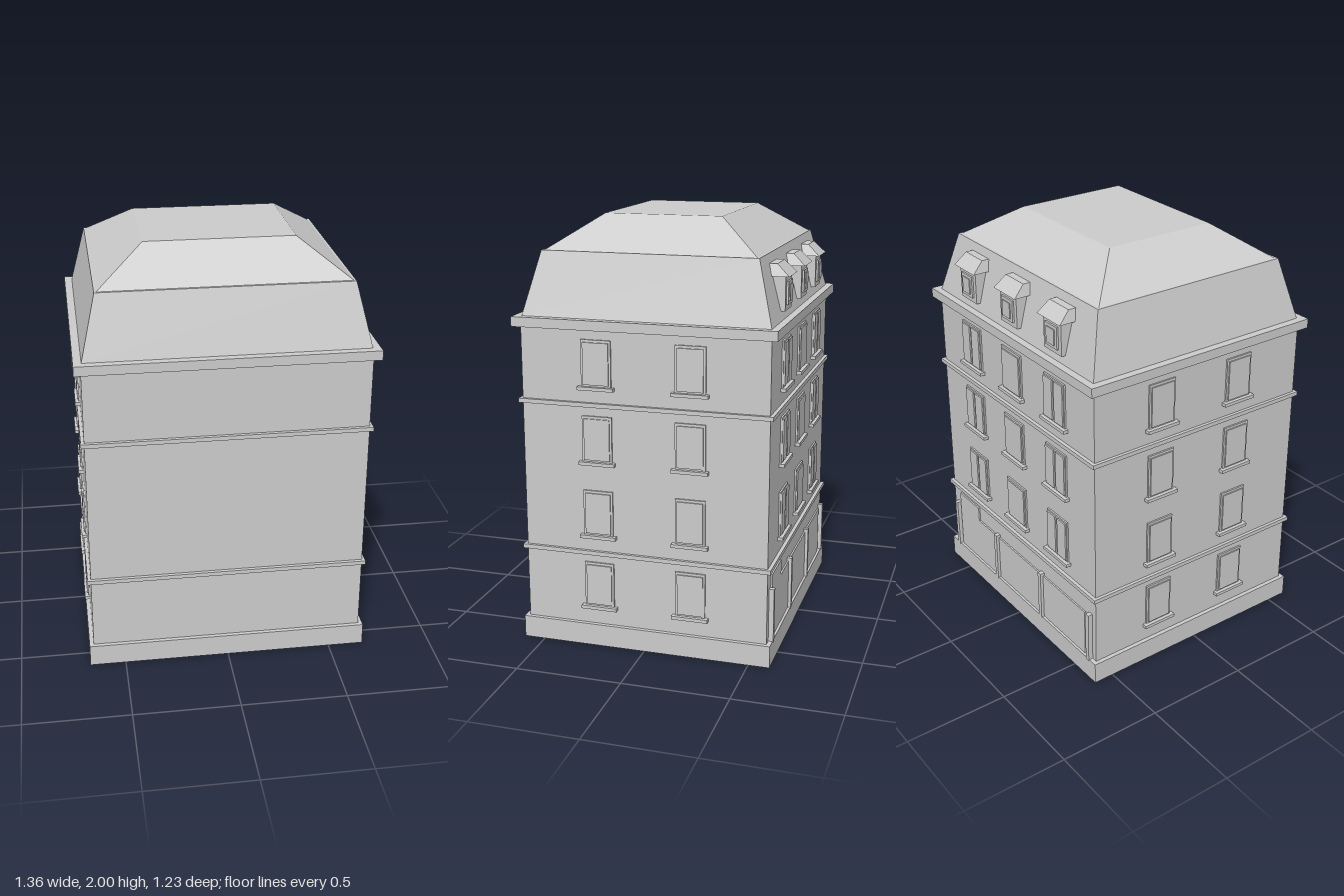
import * as THREE from 'three';

const stone = new THREE.MeshStandardMaterial({ color: 0xcccccc });
stone.name = 'pale grey stone';

const HX = 0.65, HZ = 0.58; // half width and half depth of the walls

function add(parent, name, geometry) {
  const mesh = new THREE.Mesh(geometry, stone);
  mesh.name = name;
  parent.add(mesh);
  return mesh;
}

// Box given by its extents on each axis
function block(parent, name, x0, x1, y0, y1, z0, z1) {
  const mesh = add(parent, name, new THREE.BoxGeometry(x1 - x0, y1 - y0, z1 - z0));
  mesh.position.set((x0 + x1) / 2, (y0 + y1) / 2, (z0 + z1) / 2);
  return mesh;
}

// Box whose top rectangle differs from its bottom one: [halfX, zBack, zFront]
function taper(parent, name, y0, y1, bottom, top) {
  const g = new THREE.BoxGeometry(2, 2, 2);
  const p = g.attributes.position;
  for (let i = 0; i < p.count; i++) {
    const up = p.getY(i) > 0;
    const [hx, zb, zf] = up ? top : bottom;
    p.setXYZ(i, p.getX(i) * hx, up ? y1 : y0, p.getZ(i) > 0 ? zf : zb);
  }
  g.computeVertexNormals();
  return add(parent, name, g);
}

// Window on a wall facing local +z, with its sill centred on the origin
function makeWindow(halfSill, doubleLeaf) {
  const w = new THREE.Group();
  w.name = 'window';
  const h = halfSill - 0.015;
  block(w, 'sill', -halfSill, halfSill, -0.008, 0.008, -0.01, 0.025);
  block(w, 'windowFrame', -h, h, 0.008, 0.222, -0.01, 0.008);
  if (doubleLeaf) {
    for (const s of [-1, 1]) {
      const a = s * 0.008, b = s * (h - 0.006);
      block(w, 'windowLeaf', Math.min(a, b), Math.max(a, b), 0.016, 0.214, 0, 0.015);
    }
  } else {
    block(w, 'windowPane', -h + 0.01, h - 0.01, 0.016, 0.21, 0, 0.014);
  }
  return w;
}

function makeDormer() {
  const d = new THREE.Group();
  d.name = 'dormer';
  block(d, 'dormerBody', -0.068, 0.068, 1.6, 1.765, -0.587, -0.505);
  block(d, 'dormerFrame', -0.046, 0.046, 1.625, 1.73, -0.596, -0.58);
  block(d, 'dormerPane', -0.03, 0.03, 1.64, 1.715, -0.601, -0.59);
  taper(d, 'dormerRoof', 1.755, 1.81, [0.088, -0.607, -0.49], [0.073, -0.55, -0.49]);
  return d;
}

export function createModel() {
  const model = new THREE.Group();
  model.name = 'townhouse';

  // Walls, plinth, string courses and cornice
  block(model, 'walls', -HX, HX, 0.05, 1.53, -HZ, HZ);
  block(model, 'plinth', -0.67, 0.67, 0, 0.105, -0.6, 0.6);
  for (const y of [0.46, 1.17]) {
    block(model, 'stringCourse', -0.665, 0.665, y - 0.01, y + 0.01, -0.597, 0.597);
  }
  block(model, 'cornice', -0.682, 0.682, 1.515, 1.56, -0.613, 0.613);

  // Mansard with a shallower hipped cap
  taper(model, 'mansard', 1.56, 1.85, [0.645, -0.578, 0.575], [0.575, -0.503, 0.5]);
  taper(model, 'roofCap', 1.85, 2, [0.565, -0.492, 0.488], [0.345, -0.277, 0.275]);

  // Windows on the sides and on the upper floors of the street face
  const columns = [-0.355, 0, 0.355];
  [0.19, 0.542, 0.896, 1.248].forEach((y, floor) => {
    for (const side of [-1, 1]) {
      for (const z of [-0.22, 0.22]) {
        const w = makeWindow(0.086, false);
        w.position.set(side * HX, y, z);
        w.rotation.y = side * Math.PI / 2;
        model.add(w);
      }
    }
    if (floor === 0) return;
    for (const x of columns) {
      const w = makeWindow(0.096, x !== 0);
      w.position.set(x, y, -HZ);
      w.rotation.y = Math.PI;
      model.add(w);
    }
  });

  // Dormers above the street face
  for (const x of columns) {
    const d = makeDormer();
    d.position.x = x;
    model.add(d);
  }

  // Shop front: tall entrance, display windows and slim pilasters
  const shop = new THREE.Group();
  shop.name = 'shopFront';
  block(shop, 'entrance', 0.39, 0.58, 0.1, 0.42, -0.588, -0.57);
  block(shop, 'displayWindows', -0.57, 0.39, 0.1, 0.345, -0.588, -0.57);
  for (const x of [-0.61, -0.205, 0.205, 0.6]) {
    block(shop, 'pilaster', x - 0.012, x + 0.012, 0.1, 0.36, -0.603, -0.57);
  }
  model.add(shop);

  return model;
}
